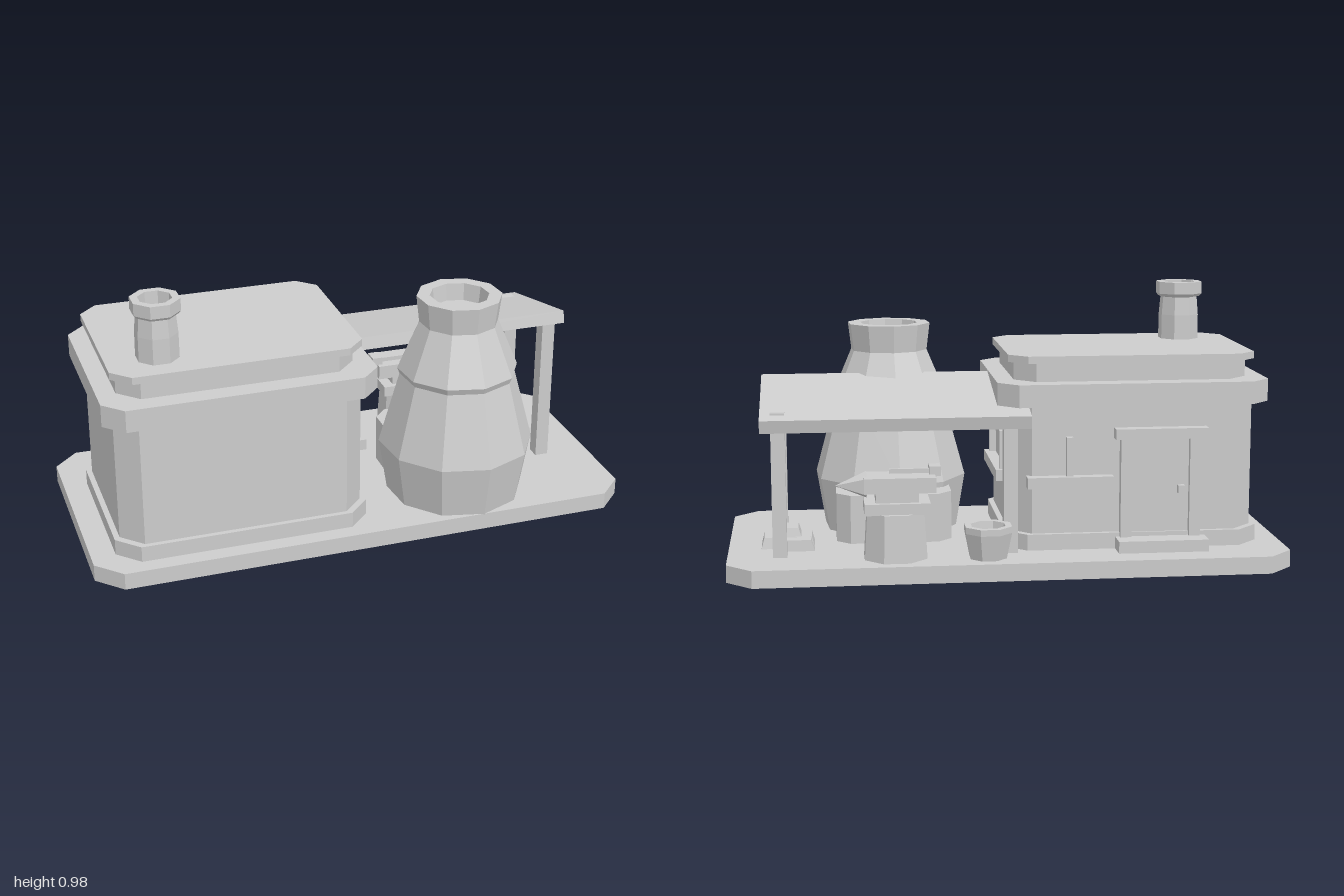
import * as THREE from 'three';

export function createModel() {
  const model = new THREE.Group();
  model.name = 'forgeHouse';
  const clay = new THREE.MeshStandardMaterial({ color: 0xcccccc, flatShading: true, side: THREE.DoubleSide });
  clay.name = 'plainGrey';

  const add = (name, geometry, parent = model) => {
    const m = new THREE.Mesh(geometry, clay);
    m.name = name;
    parent.add(m);
    return m;
  };
  // box given by its limits on each axis
  const box = (name, x0, x1, y0, y1, z0, z1, parent) => {
    const m = add(name, new THREE.BoxGeometry(x1 - x0, y1 - y0, z1 - z0), parent);
    m.position.set((x0 + x1) / 2, (y0 + y1) / 2, (z0 + z1) / 2);
    return m;
  };
  // rectangle with cut corners
  const cutRect = (hx, hz, c, Type = THREE.Shape) => new Type([
    [hx, -hz + c], [hx, hz - c], [hx - c, hz], [-hx + c, hz],
    [-hx, hz - c], [-hx, -hz + c], [-hx + c, -hz], [hx - c, -hz],
  ].map(([x, y]) => new THREE.Vector2(x, y)));
  const slab = (name, x, z, hx, hz, c, y0, y1, wall = 0) => {
    const shape = cutRect(hx, hz, c);
    if (wall) shape.holes.push(cutRect(hx - wall, hz - wall, c, THREE.Path));
    const g = new THREE.ExtrudeGeometry(shape, { depth: y1 - y0, bevelEnabled: false });
    g.rotateX(-Math.PI / 2);
    const m = add(name, g);
    m.position.set(x, y0, z);
    return m;
  };
  // turned part from [radius, height] pairs
  const turned = (name, x, z, sides, turn, profile) => {
    const m = add(name, new THREE.LatheGeometry(profile.map(([r, y]) => new THREE.Vector2(r, y)), sides));
    m.position.set(x, 0, z);
    m.rotation.y = turn;
    return m;
  };

  // hollow ground platform
  slab('platformTop', 0, -0.016, 1, 0.469, 0.09, 0.05, 0.062);
  slab('platformRim', 0, -0.016, 1, 0.469, 0.09, 0, 0.055, 0.004);

  // house: stacked cut-corner courses
  const hx = -0.449, hz = 0.044;
  slab('houseFooting', hx, hz, 0.464, 0.348, 0.078, 0.045, 0.12);
  slab('houseWalls', hx, hz, 0.444, 0.33, 0.075, 0.12, 0.585);
  slab('houseCornice', hx, hz, 0.49, 0.375, 0.07, 0.583, 0.664);
  slab('houseParapet', hx, hz, 0.423, 0.302, 0.073, 0.664, 0.732);
  slab('houseRoof', hx, hz, 0.447, 0.326, 0.065, 0.732, 0.758);

  // chimney pot on the house roof
  turned('chimney', -0.712, 0.225, 8, Math.PI / 8, [
    [0.077, 0.75], [0.076, 0.85], [0.07, 0.918], [0.08, 0.92], [0.088, 0.93],
    [0.088, 0.975], [0.06, 0.975], [0.056, 0.9], [0, 0.9],
  ]);

  // door on the back wall
  const door = new THREE.Group();
  door.name = 'door';
  model.add(door);
  box('doorStep', -0.705, -0.38, 0.055, 0.105, -0.385, -0.26, door);
  box('doorPanel', -0.65, -0.43, 0.1, 0.47, -0.296, -0.28, door);
  box('doorLintel', -0.71, -0.375, 0.463, 0.5, -0.33, -0.27, door);
  for (const s of [-1, 1]) {
    const c = -0.541 + s * 0.125;
    box('doorJamb', c - 0.02, c + 0.02, 0.1, 0.47, -0.318, -0.275, door);
  }
  box('doorKnob', -0.63, -0.605, 0.26, 0.29, -0.316, -0.29, door);

  // back window
  box('backWindowSill', -0.37, -0.06, 0.29, 0.33, -0.325, -0.27);
  box('backWindowMullion', -0.226, -0.202, 0.33, 0.47, -0.308, -0.275);

  // side window
  box('sideWindowSill', -0.02, 0.036, 0.29, 0.33, -0.165, 0.25);
  box('sideWindowHead', -0.02, 0.02, 0.45, 0.47, -0.145, 0.23);
  for (const z of [-0.145, 0.21]) box('sideWindowFrame', -0.02, 0.02, 0.33, 0.45, z, z + 0.02);

  // kiln with an open neck
  turned('kiln', 0.402, 0.202, 10, 0.087, [
    [0.25, 0.045], [0.286, 0.26], [0.212, 0.53], [0.221, 0.553], [0.144, 0.733],
    [0.156, 0.833], [0.108, 0.833], [0.1, 0.77], [0, 0.77],
  ]);
  slab('kilnHearth', 0.402, 0.03, 0.21, 0.162, 0.05, 0.045, 0.24);

  // lean-to roof on posts
  const shed = add('shedRoof', new THREE.BoxGeometry(0.947, 0.047, 0.458));
  shed.position.set(0.4035, 0.586, -0.134);
  shed.rotation.x = -0.22;
  box('frontPost', 0.79, 0.84, 0.045, 0.62, 0.04, 0.092);
  box('backPost', 0.79, 0.84, 0.045, 0.577, -0.312, -0.25);
  box('wallPost', -0.025, 0.025, 0.045, 0.55, -0.33, -0.28);
  const brace = add('postBrace', new THREE.BoxGeometry(0.03, 0.03, 0.17));
  brace.position.set(0.815, 0.515, -0.215);
  brace.rotation.x = -Math.PI / 4;

  // anvil on a stump
  turned('stump', 0.41, -0.332, 8, Math.PI / 8, [[0.12, 0.045], [0.108, 0.23], [0, 0.23]]);
  box('anvilFoot', 0.29, 0.52, 0.228, 0.268, -0.416, -0.26);
  box('anvilWaist', 0.33, 0.48, 0.268, 0.302, -0.396, -0.28);
  box('anvilFace', 0.27, 0.52, 0.302, 0.356, -0.404, -0.27);
  const horn = add('anvilHorn', new THREE.ConeGeometry(0.05, 0.11, 5));
  horn.rotation.z = -Math.PI / 2;
  horn.position.set(0.565, 0.322, -0.337);
  box('hammerHead', 0.25, 0.29, 0.35, 0.385, -0.348, -0.29);
  box('hammerHandle', 0.29, 0.43, 0.358, 0.374, -0.325, -0.31);

  // water bucket
  turned('bucket', 0.087, -0.378, 8, Math.PI / 8, [
    [0.065, 0.045], [0.088, 0.155], [0.088, 0.178], [0.064, 0.178], [0.058, 0.14], [0, 0.14],
  ]);

  // tapered ingots: centre, width, length, height
  const ingot = (x, y, z, w, l, h) => {
    const g = new THREE.BoxGeometry(w, h, l);
    const p = g.attributes.position;
    for (let i = 0; i < p.count; i++) {
      if (p.getY(i) > 0) p.setXYZ(i, p.getX(i) * 0.72, p.getY(i), p.getZ(i) * 0.86);
    }
    add('ingot', g).position.set(x, y + h / 2, z);
  };
  ingot(0.735, 0.055, -0.115, 0.09, 0.13, 0.047);
  ingot(0.84, 0.055, -0.115, 0.09, 0.13, 0.047);
  ingot(0.775, 0.1, -0.113, 0.07, 0.105, 0.033);
  ingot(0.75, 0.055, -0.197, 0.12, 0.055, 0.047);

  return model;
}
